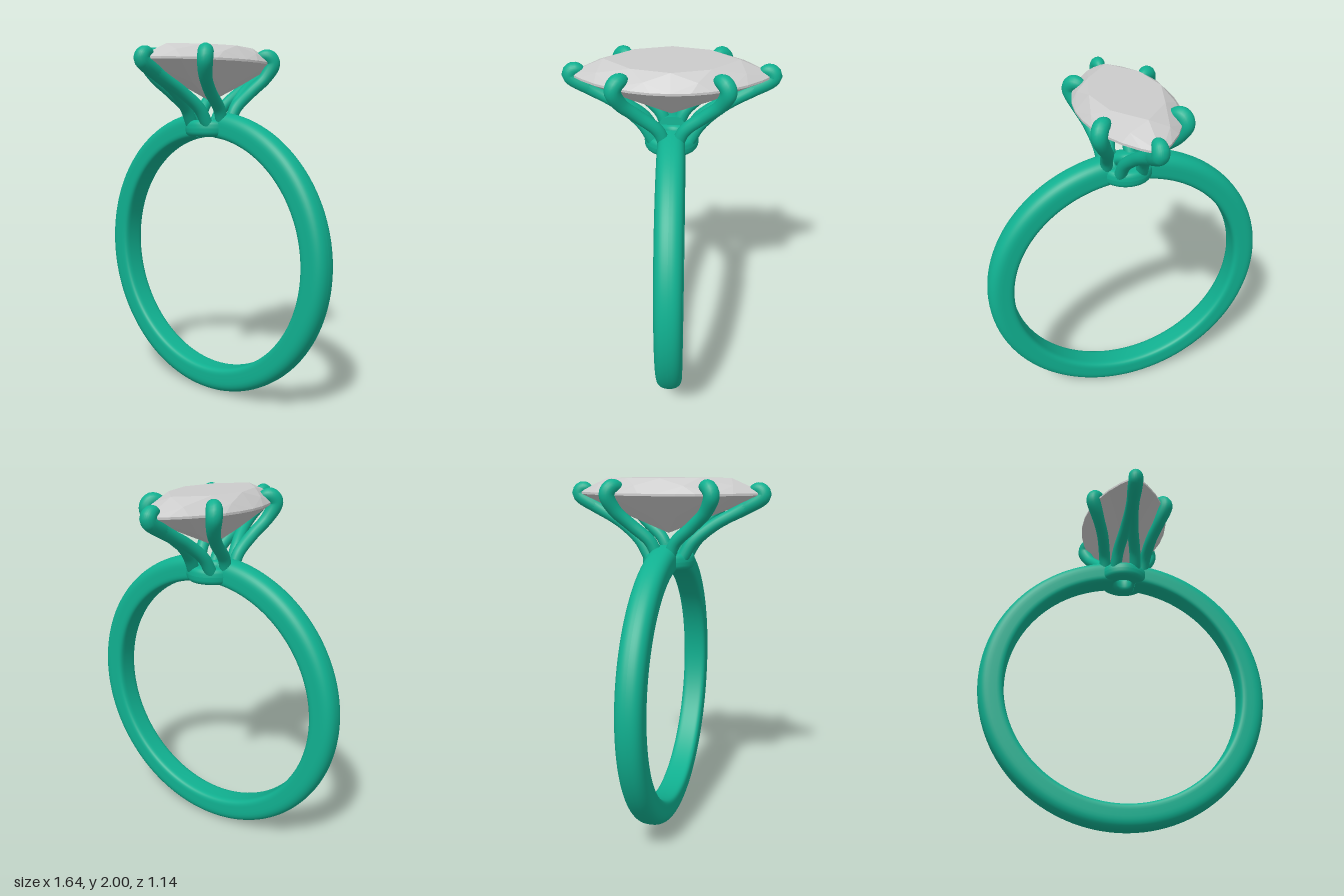
import * as THREE from 'three';
import { ConvexGeometry } from 'three/addons/geometries/ConvexGeometry.js';

const metal = new THREE.MeshStandardMaterial({ color: 0x10b090, side: THREE.DoubleSide });
const grey = new THREE.MeshStandardMaterial({ color: 0xcccccc, flatShading: true });
const V = (x, y, z) => new THREE.Vector3(x, y, z);

function add(parent, name, geometry, material) {
  const mesh = new THREE.Mesh(geometry, material);
  mesh.name = name;
  parent.add(mesh);
  return mesh;
}

// Superellipse section, with separate squareness for the inner and outer halves
function section(cx, cy, rx, ry, nIn, nOut, count) {
  const pts = [];
  for (let i = 0; i <= count; i++) {
    const a = (i % count) / count * Math.PI * 2, c = Math.cos(a), s = Math.sin(a);
    const e = 2 / (c < 0 ? nIn : nOut);
    pts.push(new THREE.Vector2(
      cx + rx * Math.sign(c) * Math.abs(c) ** e,
      cy + ry * Math.sign(s) * Math.abs(s) ** e));
  }
  return pts;
}

// Tube whose thickness swells at the bend and tapers to the tip
function prongGeometry(points) {
  const curve = new THREE.CatmullRomCurve3(points);
  const rings = 56, sides = 16;
  const geo = new THREE.TubeGeometry(curve, rings, 1, sides);
  const pos = geo.attributes.position, p = V(0, 0, 0);
  for (let i = 0; i <= rings; i++) {
    const t = i / rings, center = curve.getPointAt(t);
    const swell = 0.034 + 0.009 * THREE.MathUtils.smoothstep(t, 0.5, 0.82);
    const tip = Math.sqrt(Math.max(0, 1 - Math.max(0, (t - 0.84) / 0.16) ** 2));
    for (let j = 0; j <= sides; j++) {
      const k = i * (sides + 1) + j;
      p.fromBufferAttribute(pos, k).sub(center).multiplyScalar(swell * tip).add(center);
      pos.setXYZ(k, p.x, p.y, p.z);
    }
  }
  // Copy averaged normals across the tube seam
  geo.computeVertexNormals();
  const nor = geo.attributes.normal, n = V(0, 0, 0), m = V(0, 0, 0);
  for (let i = 0; i <= rings; i++) {
    const a = i * (sides + 1), b = a + sides;
    n.fromBufferAttribute(nor, a).add(m.fromBufferAttribute(nor, b)).normalize();
    nor.setXYZ(a, n.x, n.y, n.z);
    nor.setXYZ(b, n.x, n.y, n.z);
  }
  return geo;
}

// Pointed oval made of two circular arcs; u runs once round from 0 to 1
function marquise(u, halfX, halfZ, y) {
  const R = (halfZ * halfZ + halfX * halfX) / (2 * halfX);
  const half = Math.asin(halfZ / R);
  const side = u < 0.5 ? 1 : -1;
  const a = ((u * 2) % 1 * 2 - 1) * half;
  return V(side * (R * Math.cos(a) - (R - halfX)), y, side * R * Math.sin(a));
}

function createStone() {
  const pts = [V(0, 1.7, 0)];
  for (let i = 0; i < 24; i++) {
    pts.push(marquise(i / 24, 0.263, 0.53, 1.922), marquise(i / 24, 0.263, 0.53, 1.91));
  }
  for (let i = 0; i < 8; i++) {
    pts.push(marquise(i / 8, 0.19, 0.35, 2.0));          // table
    pts.push(marquise((i + 0.5) / 8, 0.235, 0.47, 1.962)); // crown break
    pts.push(marquise((i + 0.5) / 8, 0.13, 0.25, 1.795)); // pavilion break
  }
  return new ConvexGeometry(pts);
}

export function createModel() {
  const model = new THREE.Group();
  const ring = new THREE.Group();
  ring.name = 'ring';
  model.add(ring);

  // Band, open at the top where the collar sits
  const gap = 0.1, profile = section(0.75, 0, 0.0725, 0.074, 5, 2.5, 40);
  const band = new THREE.Group();
  band.name = 'band';
  band.position.y = 0.823;
  ring.add(band);
  const hoop = new THREE.LatheGeometry(profile, 128, gap, Math.PI * 2 - gap * 2);
  add(band, 'bandHoop', hoop.rotateX(-Math.PI / 2), metal);
  for (const a of [gap, -gap]) {
    const cap = new THREE.ShapeGeometry(new THREE.Shape(profile.slice(0, -1)));
    const s = Math.sin(a), c = Math.cos(a);
    cap.applyMatrix4(new THREE.Matrix4().makeBasis(V(s, c, 0), V(0, 0, 1), V(c, -s, 0)));
    add(band, 'bandEnd', cap, metal);
  }

  // Collar with a through hole under the stone
  const collar = new THREE.LatheGeometry(section(0.098, 1.55, 0.048, 0.047, 3, 3, 24), 64);
  add(ring, 'collar', collar, metal);

  // Four side prongs, and two end prongs that each fork into two legs
  const side = [[0.115, 1.57, 0.03], [0.125, 1.66, 0.07], [0.15, 1.75, 0.17], [0.19, 1.83, 0.25],
    [0.22, 1.915, 0.285], [0.205, 1.953, 0.265], [0.15, 1.95, 0.215]];
  const end = [[0.06, 1.57, 0.095], [0.05, 1.66, 0.15], [0.022, 1.75, 0.26], [0, 1.845, 0.43],
    [0, 1.912, 0.525], [0, 1.94, 0.505], [0, 1.938, 0.445]];
  for (const sx of [1, -1]) {
    for (const sz of [1, -1]) {
      const mirror = ([x, y, z]) => V(x * sx, y, z * sz);
      add(ring, 'sideProng', prongGeometry(side.map(mirror)), metal);
      add(ring, 'endProngLeg', prongGeometry(end.map(mirror)), metal);
    }
  }

  add(model, 'stone', createStone(), grey);
  return model;
}
